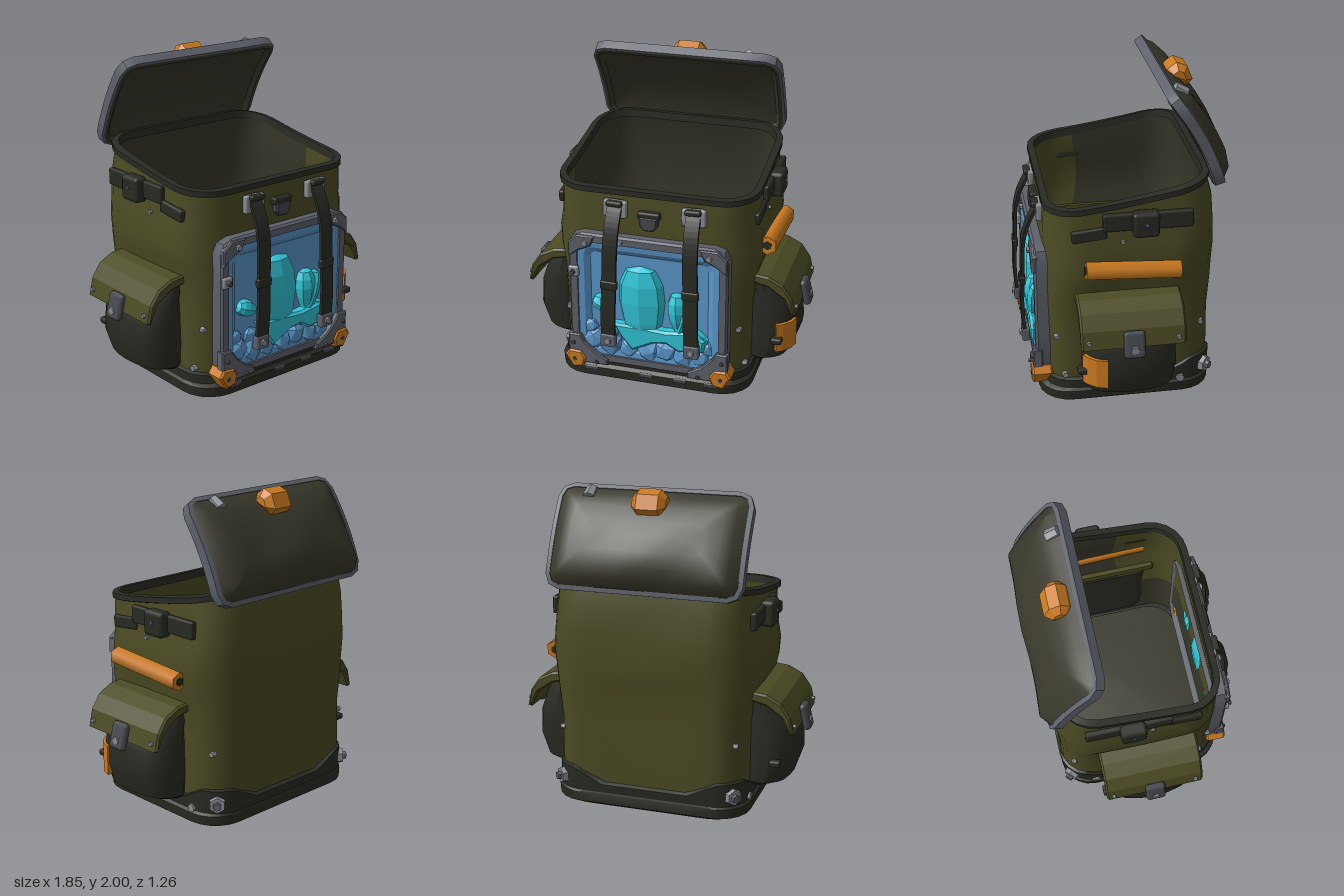
import * as THREE from 'three';
import { toCreasedNormals } from 'three/addons/utils/BufferGeometryUtils.js';
import { RoundedBoxGeometry } from 'three/addons/geometries/RoundedBoxGeometry.js';

const mat = (name, color) => Object.assign(new THREE.MeshStandardMaterial({ color }), { name });
const M = {
  olive: mat('olive canvas', 0x4c4b24), lining: mat('dark lining', 0x38372a), black: mat('black leather', 0x2a2a24),
  gray: mat('gun metal', 0x5e616b), iron: mat('dark iron', 0x47484e), steel: mat('light steel', 0x8b8e94),
  orange: mat('orange paint', 0xcb7a20), blue: mat('ice blue', 0x5b98cc), cyan: mat('crystal cyan', 0x32c6d8),
};

// Counter-clockwise rounded rectangle with subdivided sides
function roundRect(hw, hh, r, side = 6, arc = 5) {
  r = Math.min(r, hw * 0.9, hh * 0.9);
  const corners = [];
  [[1, 1], [-1, 1], [-1, -1], [1, -1]].forEach(([sx, sy], q) => {
    for (let i = 0; i <= arc; i++) {
      const t = (q + i / arc) * Math.PI / 2;
      corners.push([sx * (hw - r) + r * Math.cos(t), sy * (hh - r) + r * Math.sin(t)]);
    }
  });
  const out = [];
  corners.forEach((p, i) => {
    out.push(p);
    if (i % (arc + 1) !== arc) return;
    const n = corners[(i + 1) % corners.length];
    for (let k = 1; k < side; k++) out.push([p[0] + (n[0] - p[0]) * k / side, p[1] + (n[1] - p[1]) * k / side]);
  });
  return out;
}

// Skin through closed rings of [x, y, z] points; keep picks the quads by their first corner
function loft(rings, crease = 0.6, keep = () => true) {
  const n = rings[0].length, idx = [];
  for (let i = 0; i < rings.length - 1; i++) for (let j = 0; j < n; j++) {
    const a = i * n + j, b = i * n + (j + 1) % n;
    if (keep(rings[0][j], i)) idx.push(a, b, b + n, a, b + n, a + n);
  }
  const g = new THREE.BufferGeometry();
  g.setAttribute('position', new THREE.Float32BufferAttribute(rings.flat(2), 3));
  g.setIndex(idx);
  return toCreasedNormals(g, crease);
}

// Horizontal ring; lift raises its back edge
const ring = (y, hw, zf, zb, r = 0.2, lift = 0, wrinkle = 0) => roundRect(hw, (zf - zb) / 2, r).map(([a, b]) => {
  const z = (zf + zb) / 2 - b, t = (zf - z) / ((zf - zb) || 1);
  const w = 1 + wrinkle * Math.sin(9 * y + 4 * a + 3 * z) * Math.sin(7 * y - 5 * z + 2 * a);
  return [a * w, y + lift * Math.pow(Math.max(t, 0), 1.4), z * w];
});
const extrude = (pts, depth, bevel = 0) => {
  const g = new THREE.ExtrudeGeometry(new THREE.Shape(pts.map(p => new THREE.Vector2(...p))), {
    depth: depth - 2 * bevel, bevelEnabled: bevel > 0, bevelSize: bevel, bevelThickness: bevel, bevelOffset: -bevel, bevelSegments: 1 });
  return g.translate(0, 0, bevel - depth / 2);
};
// Profile of [z, y] points extruded along x
const extrudeX = (pts, width, bevel) => extrude(pts, width, bevel).rotateY(-Math.PI / 2);

function add(parent, name, geo, material, x = 0, y = 0, z = 0) {
  const m = new THREE.Mesh(geo, material);
  m.name = name;
  m.position.set(x, y, z);
  parent.add(m);
  return m;
}
const box = (p, name, m, w, h, d, x, y, z, r = 0.012) => add(p, name, new RoundedBoxGeometry(w, h, d, 1, r), m, x, y, z);
function bolt(p, x, y, z, axis = 'z', r = 0.02, m = M.steel, h = 0.03) {
  const g = new THREE.CylinderGeometry(r * 0.85, r, h, 6);
  if (axis === 'z') g.rotateX(Math.PI / 2);
  if (axis === 'x') g.rotateZ(-Math.sign(x) * Math.PI / 2);
  return add(p, 'bolt', toCreasedNormals(g, 0.1), m, x, y, z);
}

function buildBody(g) {
  // y, half width, front z, back z, lift of the back edge, corner radius
  const rows = [[0.08, 0.59, 0.49, -0.53, 0, 0.19], [0.3, 0.6, 0.49, -0.54, 0, 0.19], [0.55, 0.6, 0.49, -0.54, 0, 0.19], [0.75, 0.615, 0.49, -0.545, 0, 0.2],
    [0.85, 0.64, 0.49, -0.555, 0, 0.24], [0.96, 0.655, 0.49, -0.565, 0.02, 0.26], [1.08, 0.635, 0.48, -0.555, 0.05, 0.24], [1.2, 0.615, 0.475, -0.54, 0.1, 0.21], [1.3, 0.615, 0.465, -0.5, 0.15, 0.2]];
  add(g, 'canvasBody', loft(rows.map(([y, w, f, b, l, r]) => ring(y, w, f, b, r, l, 0.01))), M.olive);
  // Inside: canvas shows on the front half of the walls, lining elsewhere
  const inner = rows.slice().reverse().map(([y, w, f, b, l, r]) => ring(y, w - 0.022, f - 0.022, b + 0.022, r - 0.02, l));
  inner.push(ring(0.12, 0, 0, 0));
  const bare = (p, i) => p[2] > 0.1 && i < 6;
  add(g, 'innerLining', loft(inner, 0.6, (p, i) => !bare(p, i)), M.lining);
  add(g, 'innerCanvas', loft(inner, 0.6, bare), M.olive);
  const rim = (y, o) => ring(y, 0.615 + o, 0.465 + o, -0.5 - o, 0.2 + o, 0.15);
  add(g, 'openingRim', loft([rim(1.275, 0.004), rim(1.28, 0.02), rim(1.315, 0.02), rim(1.32, -0.022), rim(1.27, -0.026)]), M.black);
  // Leather base and its upper band, raised at the back corners
  add(g, 'leatherBase', loft([ring(0, 0, 0, 0), ring(0, 0.59, 0.49, -0.51), ring(0.025, 0.625, 0.53, -0.55),
    ring(0.085, 0.63, 0.53, -0.55), ring(0.105, 0.605, 0.51, -0.54), ring(0.105, 0.55, 0.45, -0.5)]), M.black);
  const ramp = (v, a) => Math.min(1, Math.max(0, (v - a) / 0.15));
  const raise = pts => pts.map(([x, y, z]) => [x, y + 0.09 * ramp(Math.abs(x), 0.3) * ramp(-z, 0.26), z]);
  add(g, 'baseBand', loft([ring(0.1, 0.612, 0.508, -0.552), raise(ring(0.155, 0.614, 0.506, -0.556)), raise(ring(0.168, 0.59, 0.48, -0.53))]), M.black);
  for (const s of [1, -1]) {
    bolt(g, s * 0.55, 0.165, -0.495, 'z', 0.058, M.steel, 0.06).rotation.y = s * Math.PI * 0.75;
    bolt(g, s * 0.57, 0.165, -0.515, 'z', 0.03, M.gray, 0.05).rotation.y = s * Math.PI * 0.75;
    bolt(g, s * 0.61, 0.11, -0.34, 'x', 0.032);
    bolt(g, s * 0.56, 0.48, -0.47, 'x', 0.02);
    bolt(g, s * 0.585, 0.19, 0.38, 'x', 0.022);
    bolt(g, s * 0.63, 1.11, 0.03, 'x', 0.016);
    bolt(g, s * 0.55, 0.45, 0.43, 'z', 0.02);
  }
  for (const x of [-0.38, -0.02, 0.2, 0.4]) box(g, 'baseTab', M.iron, 0.09, 0.03, 0.02, x, 0.075, 0.523, 0.008);
}

// Open lid: (x, s) mapped on a curve in the yz plane, off = distance along its front normal
function lidPoint(x, s, off) {
  const q = 1 - s, z = q * q * -0.555 + 2 * q * s * -0.465 + s * s * -0.25, y = q * q * 1.39 + 2 * q * s * 1.7 + s * s * 1.965;
  const dz = 2 * q * 0.09 + 2 * s * 0.215, dy = 2 * q * 0.31 + 2 * s * 0.265, l = Math.hypot(dz, dy);
  return [x, y - off * dz / l, z + off * dy / l];
}
function buildLid(g) {
  const lid = new THREE.Group();
  lid.name = 'openLid';
  g.add(lid);
  const lr = (inset, off, grow = 0) => roundRect(0.61 - inset, 0.33 - inset, Math.max(0.09 - inset, 0.02), 6, 2)
    .map(([a, b]) => {
      const s = 0.5 + b / 0.66, fold = 1 + 0.12 * Math.sin(9 * a + 5 * s);
      return lidPoint(a, s, off - grow * (1.25 - 0.75 * s) * fold);
    });
  add(lid, 'lidFrame', loft([lr(0, -0.04), lr(0, 0.02), lr(0.03, 0.025), lr(0.028, -0.045), lr(0, -0.04)]), M.gray);
  add(lid, 'lidLining', loft([lr(0.012, 0.026), lr(0.035, 0.03), lr(0.06, 0.005), lr(0.15, -0.01), lr(0.24, -0.015), lr(0.33, -0.015)]), M.lining);
  add(lid, 'lidCover', loft([lr(0.33, -0.04, 0.09), lr(0.24, -0.04, 0.088), lr(0.15, -0.04, 0.078), lr(0.08, -0.04, 0.05), lr(0.024, -0.036)], 1), M.lining);
  add(lid, 'lidKnob', extrudeX([[-0.31, 1.91], [-0.34, 1.965], [-0.39, 2.0], [-0.455, 1.975], [-0.49, 1.89], [-0.45, 1.85]], 0.21, 0.038), M.orange);
  bolt(lid, 0.4, 1.945, -0.34, 'z', 0.04, M.steel, 0.08).rotation.x = -0.6;
}

function buildWindow(g) {
  const win = new THREE.Group();
  win.name = 'crystalWindow';
  g.add(win);
  const wr = (i, z) => roundRect(0.505 - i, 0.445 - i, Math.max(0.09 - i * 0.4, 0.02), 3, 2).map(([a, b]) => [a, 0.585 + b, z]);
  add(win, 'windowFrame', loft([wr(0, 0.43), wr(0, 0.535), wr(0.012, 0.55), wr(0.055, 0.55), wr(0.065, 0.5), wr(0, 0.43)]), M.gray);
  add(win, 'icePanel', loft([wr(0.055, 0.54), wr(0.095, 0.535), wr(0.13, 0.508), wr(0.25, 0.505), wr(0.445, 0.505)], 0.2), M.blue);
  // Metal corner plates and orange bumpers
  for (const s of [1, -1]) {
    const flip = pts => pts.map(([x, y]) => [s * x, y]);
    add(win, 'lowerCornerPlate', extrude(flip([[0.515, 0.33], [0.515, 0.2], [0.41, 0.13], [0.26, 0.13], [0.26, 0.17], [0.34, 0.215], [0.41, 0.28], [0.44, 0.33]]), 0.06, 0.008), M.gray, 0, 0, 0.54);
    add(win, 'upperCornerPlate', extrude(flip([[0.5, 0.87], [0.5, 0.97], [0.44, 1.02], [0.33, 1.02], [0.36, 0.95], [0.43, 0.92]]), 0.04, 0.008), M.gray, 0, 0, 0.545);
    add(win, 'cornerBumper', extrude(flip([[0.4, 0.165], [0.43, 0.215], [0.51, 0.22], [0.54, 0.175], [0.49, 0.09], [0.42, 0.105]]), 0.13, 0.012), M.orange, 0, 0, 0.515);
    bolt(win, s * 0.475, 0.155, 0.58, 'z', 0.016, M.iron, 0.01);
    bolt(win, s * 0.48, 0.27, 0.57, 'z', 0.014, M.iron);
    bolt(win, s * 0.33, 0.15, 0.57, 'z', 0.014, M.iron);
    bolt(win, s * 0.39, 0.975, 0.565, 'z', 0.022);
  }
  box(win, 'sideLatch', M.steel, 0.07, 0.07, 0.03, -0.47, 0.77, 0.555);
  bolt(win, -0.47, 0.77, 0.575, 'z', 0.018, M.iron);
  bolt(win, -0.17, 1.0, 0.555, 'z', 0.02);
  // Faceted ice rubble along the bottom
  const rocks = [[-0.36, 0.29, 0.08], [-0.25, 0.27, 0.09], [-0.13, 0.25, 0.07], [0.0, 0.25, 0.08], [0.11, 0.27, 0.08], [0.22, 0.25, 0.08],
    [0.33, 0.26, 0.07], [0.37, 0.33, 0.06], [-0.38, 0.38, 0.055], [-0.25, 0.36, 0.06]];
  rocks.forEach(([x, y, r], i) => {
    const m = add(win, 'iceRock', new THREE.IcosahedronGeometry(r, 0), M.blue, x, y, 0.515);
    m.scale.z = 0.55;
    m.rotation.z = i * 1.7;
  });
  // Faceted crystals: x, y, radius, half height, tilt
  for (const [x, y, r, h, tilt] of [[-0.045, 0.57, 0.155, 0.27, 0.03], [0.19, 0.56, 0.07, 0.13, 0.05], [0.23, 0.52, 0.06, 0.15, -0.3],
    [-0.29, 0.55, 0.055, 0.075, 1.2], [0.31, 0.4, 0.05, 0.08, 1.1]]) {
    const prof = [[0, -1], [0.55, -0.85], [0.85, -0.4], [1, 0.1], [0.93, 0.55], [0.62, 0.9], [0, 1]];
    const geo = new THREE.LatheGeometry(prof.map(([a, b]) => new THREE.Vector2(a * r, b * h)), 7).toNonIndexed();
    geo.computeVertexNormals();
    const m = add(win, 'crystal', geo, M.cyan, x, y, 0.515);
    m.scale.z = Math.min(1, 0.07 / r);
    m.rotation.z = tilt;
  }
  add(win, 'crystalBed', extrude([[-0.22, 0.44], [-0.17, 0.35], [-0.1, 0.265], [0.04, 0.335], [0.12, 0.345], [0.2, 0.3], [0.36, 0.32], [0.37, 0.4], [0.27, 0.45], [0.12, 0.43], [-0.02, 0.44]], 0.09, 0.015), M.cyan, 0, 0, 0.52);
}

function buildFrontStraps(g) {
  const path = new THREE.SplineCurve([[0.475, 1.25], [0.525, 1.18], [0.57, 1.08], [0.597, 0.95], [0.603, 0.75], [0.612, 0.55], [0.6, 0.34]].map(p => new THREE.Vector2(...p))).getPoints(20);
  const pts = [...path.map(p => [p.x + 0.01, p.y]), ...path.reverse().map(p => [p.x - 0.012, p.y])];
  for (const [x, lean] of [[-0.225, 0.03], [0.285, -0.02]]) {
    const strap = new THREE.Group();
    strap.name = 'frontStrapSet';
    strap.position.set(x - lean * 0.8, 0, 0);
    strap.rotation.z = -lean;
    g.add(strap);
    add(strap, 'frontStrap', extrudeX(pts, 0.09), M.black);
    box(strap, 'strapLoop', M.black, 0.11, 0.06, 0.035, 0, 0.73, 0.603);
    box(strap, 'strapTopPlate', M.steel, 0.15, 0.11, 0.04, 0, 1.195, 0.49);
    box(strap, 'strapTopBar', M.black, 0.1, 0.035, 0.05, 0, 1.235, 0.51);
    box(strap, 'strapEndBuckle', M.gray, 0.1, 0.09, 0.05, 0, 0.345, 0.595);
    bolt(strap, 0, 0.345, 0.622, 'z', 0.025, M.steel, 0.02);
  }
  // Small loop between the straps
  box(g, 'loopPlate', M.black, 0.14, 0.045, 0.05, 0, 1.175, 0.495);
  add(g, 'loopTab', extrude([[-0.06, 1.17], [-0.055, 1.11], [-0.03, 1.08], [0.03, 1.08], [0.055, 1.11], [0.06, 1.17]], 0.05, 0.01), M.iron, 0, 0, 0.5);
}

function buildSides(g) {
  for (const s of [1, -1]) {
    // Cargo pocket with a bowed face, modelled on +x and turned for the other side
    const p = new THREE.Group();
    p.name = s > 0 ? 'leftPocket' : 'rightPocket';
    p.rotation.y = s > 0 ? 0 : Math.PI;
    g.add(p);
    const pr = (y, out, hz) => roundRect((out - 0.56) / 2, hz, 0.1, 4, 4)
      .map(([a, b]) => [(out + 0.56) / 2 + a - (a > 0 ? 0.07 * (b / 0.29) ** 2 : 0), y, -b]);
    add(p, 'pocketBag', loft([pr(0.15, 0.56, 0), pr(0.15, 0.75, 0.24), pr(0.18, 0.82, 0.28), pr(0.32, 0.868, 0.29), pr(0.48, 0.86, 0.285), pr(0.62, 0.81, 0.28), pr(0.73, 0.72, 0.27)]), M.black);
    add(p, 'pocketFlap', extrude([[0.57, 0.785], [0.7, 0.77], [0.79, 0.725], [0.85, 0.64], [0.875, 0.53], [0.85, 0.525], [0.8, 0.63], [0.7, 0.7], [0.57, 0.73]], 0.635, 0.012), M.olive);
    box(p, 'pocketTab', M.black, 0.07, 0.04, 0.06, 0.76, 0.33, 0.295);
    const b = box(p, 'pocketBuckle', M.iron, 0.05, 0.17, 0.13, 0.885, 0.555, 0, 0.024);
    b.rotation.z = 0.25;
    bolt(p, 0.912, 0.53, 0, 'x', 0.03, M.steel, 0.02);
    for (const z of [-0.27, 0.27]) bolt(p, 0.867, 0.575, z, 'x', 0.016);
    if (s > 0) {
      // Painted patch wrapping the pocket's front corner
      const wrap = [[0.78, 0.155], [0.86, 0.155], [0.838, 0.222], [0.795, 0.272], [0.76, 0.295], [0.74, 0.26]];
      add(p, 'orangePatch', extrude(wrap, 0.19).rotateX(Math.PI / 2), M.orange, 0, 0.34, 0);
    }
    // Compression belt near the opening
    box(g, 'beltEnd', M.black, 0.04, 0.075, 0.21, s * 0.62, 1.165, 0.23).rotation.x = 0.1;
    box(g, 'sideBelt', M.black, 0.04, 0.11, 0.54, s * 0.63, 1.24, -0.12);
    box(g, 'beltBuckle', M.black, 0.09, 0.16, 0.16, s * 0.66, 1.235, -0.1, 0.025);
    bolt(g, s * 0.705, 1.245, -0.1, 'x', 0.015, M.gray, 0.015);
  }
  // Hexagonal rod on one side
  const rod = new THREE.Group();
  rod.name = 'orangeRod';
  rod.position.set(0.675, 0.94, -0.025);
  rod.rotation.x = -0.06;
  g.add(rod);
  add(rod, 'rodTube', new THREE.CylinderGeometry(0.06, 0.06, 0.57, 6).rotateX(Math.PI / 2), M.orange);
  for (const z of [-0.286, 0.286]) add(rod, 'rodSocket', new THREE.CylinderGeometry(0.028, 0.028, 0.006, 6).rotateX(Math.PI / 2), M.black, 0, 0, z);
}

export function createModel() {
  const g = new THREE.Group();
  g.name = 'backpack';
  [buildBody, buildLid, buildWindow, buildFrontStraps, buildSides].forEach(build => build(g));
  return g;
}
